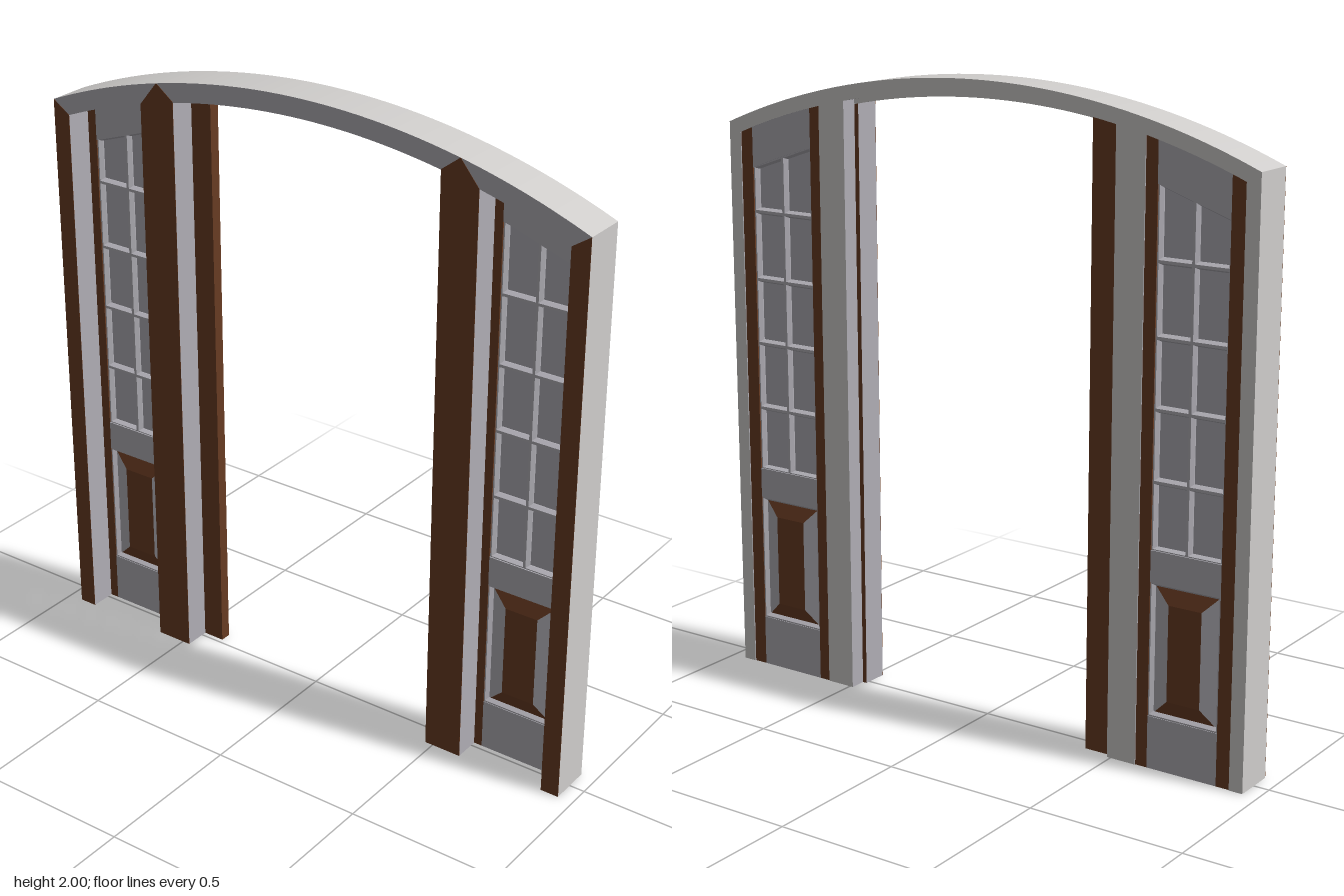
import * as THREE from 'three';

const mat = (name, color) => {
  const m = new THREE.MeshStandardMaterial({ color });
  m.name = name;
  return m;
};

export function createModel() {
  const BROWN = 0, PANEL = 1, FRAME = 2, GLASS = 3;
  const mats = [
    mat('brown wood', 0x683b22), mat('grey panel', 0xb0aeb5),
    mat('light frame', 0xd0cecc), mat('glass', 0xaeadb5),
  ];
  const model = new THREE.Group();
  model.name = 'archedDoorFrame';

  // Height of an arc of radius r sharing the arch centre
  const arc = (r) => (x) => Math.sqrt(r * r - x * x) - 0.47;
  const flat = (y) => () => y;
  const OUTER = 2.47, INNER = 2.41, REAR = 2.425, GLAZING = 2.306;
  const STEP = -0.016, FRONT = 0.069, BACK = -0.07;

  // Mesh whose faces take a colour picked from their normal
  function add(parent, name, geo, pick) {
    if (geo.index) geo = geo.toNonIndexed();
    geo.computeVertexNormals();
    geo.clearGroups();
    const n = geo.attributes.normal;
    for (let i = 0; i < n.count; i += 3) {
      geo.addGroup(i, 3, typeof pick === 'number' ? pick : pick(n.getX(i), n.getY(i), n.getZ(i)));
    }
    const mesh = new THREE.Mesh(geo, mats);
    mesh.name = name;
    parent.add(mesh);
    return mesh;
  }

  function prism(parent, name, points, z0, z1, pick) {
    const shape = new THREE.Shape(points.map(([x, y]) => new THREE.Vector2(x, y)));
    const geo = new THREE.ExtrudeGeometry(shape, { depth: z1 - z0, bevelEnabled: false });
    return add(parent, name, geo.translate(0, 0, z0), pick);
  }

  // Upright slab between two height functions
  function band(parent, name, xa, xb, low, high, z0, z1, pick, steps = 4) {
    const x0 = Math.min(xa, xb), x1 = Math.max(xa, xb), bottom = [], top = [];
    for (let i = 0; i <= steps; i++) {
      const x = x0 + (x1 - x0) * i / steps;
      bottom.push([x, low(x)]);
      top.unshift([x, high(x)]);
    }
    return prism(parent, name, bottom.concat(top), z0, z1, pick);
  }

  // Box whose front and back faces shrink to give sloped edges
  function tapered(parent, name, x, y, w, h, d, sx, sy, pick) {
    const geo = new THREE.BoxGeometry(w, h, d, 1, 1, 3), p = geo.attributes.position;
    for (let i = 0; i < p.count; i++) {
      if (Math.abs(p.getZ(i)) > d * 0.4) p.setXY(i, p.getX(i) * sx, p.getY(i) * sy);
    }
    const mesh = add(parent, name, geo, pick);
    mesh.position.set(x, y, -0.042);
    return mesh;
  }

  // Arched head, rebated behind
  const archPick = (nx, ny, nz) => (nz < -0.5 || ny > 0.3 || Math.abs(nx) > 0.9 ? FRAME : PANEL);
  band(model, 'archFront', -0.95, 0.95, arc(INNER), arc(OUTER), STEP, FRONT, archPick, 48);
  band(model, 'archBack', -0.95, 0.95, arc(REAR), arc(OUTER), BACK, STEP, archPick, 48);

  for (const s of [-1, 1]) {
    const side = new THREE.Group();
    side.name = s > 0 ? 'leftSide' : 'rightSide';
    model.add(side);

    // Outer jamb and mullion: full width in front, rebated behind
    const frontPick = (nx, ny, nz) => (nz < -0.5 ? BROWN : PANEL);
    const backPick = (nx, ny, nz) => (nz < -0.5 ? FRAME : PANEL);
    const outside = (pick) => (nx, ny, nz) => (nx * s > 0.5 ? FRAME : pick(nx, ny, nz));
    band(side, 'jambFront', s * 0.89, s * 0.95, flat(0), arc(INNER), STEP, FRONT, outside(frontPick));
    band(side, 'jambBack', s * 0.905, s * 0.95, flat(0), arc(REAR), BACK, STEP, outside(backPick));
    band(side, 'mullionFront', s * 0.473, s * 0.598, flat(0), arc(INNER), STEP, FRONT, frontPick);
    band(side, 'mullionBack', s * 0.488, s * 0.586, flat(0), arc(REAR), BACK, STEP, backPick);

    // Brown faces, mitred into the arch
    const face = (name, pts) => prism(side, name, pts.map(([x, y]) => [s * x, y]), FRONT, 0.07, BROWN);
    face('jambFace', [[0.89, 0], [0.95, 0], [0.95, 1.81], [0.89, 1.77]]);
    face('mullionFace', [[0.473, 0], [0.598, 0], [0.598, 1.865], [0.535, 1.942], [0.473, 1.895]]);

    // Sidelight: stiles, rails, glass
    const z0 = -0.067, z1 = -0.017, cx = s * 0.7425, xi = s * 0.625, xo = s * 0.86;
    band(side, 'outerStile', xo, s * 0.905, flat(0), arc(REAR), z0, z1, BROWN);
    band(side, 'innerStile', s * 0.586, xi, flat(0), arc(REAR), z0, z1, BROWN);
    band(side, 'bottomRail', xi, xo, flat(0), flat(0.165), z0, z1, PANEL);
    band(side, 'middleRail', xi, xo, flat(0.583), flat(0.68), z0, z1, PANEL);
    band(side, 'topRail', xi, xo, arc(GLAZING), arc(REAR), z0, z1, PANEL, 8);
    band(side, 'glass', xi, xo, flat(0.68), arc(GLAZING), -0.045, -0.039, GLASS, 8);

    // Glazing bars and edge mouldings
    for (const y of [0.885, 1.1, 1.31, 1.53]) {
      tapered(side, 'crossBar', cx, y, 0.235, 0.022, 0.042, 1, 0.4, PANEL);
    }
    tapered(side, 'uprightBar', cx, 1.2, 0.022, 1.04, 0.042, 0.4, 1, PANEL);
    for (const x of [0.625, 0.86]) {
      const h = arc(GLAZING)(x) - 0.68;
      tapered(side, 'glassSideMoulding', s * x, 0.68 + h / 2, 0.022, h, 0.042, 0.4, 1, PANEL);
      tapered(side, 'panelSideMoulding', s * x, 0.374, 0.026, 0.418, 0.046, 0.3, 1, PANEL);
    }
    const topBar = tapered(side, 'glassTopMoulding', cx, 1.713, 0.24, 0.022, 0.042, 1, 0.4, PANEL);
    topBar.rotation.z = -s * 0.328;
    tapered(side, 'glassBottomMoulding', cx, 0.68, 0.235, 0.016, 0.042, 1, 0.4, PANEL);
    for (const y of [0.165, 0.583]) {
      tapered(side, 'panelMoulding', cx, y, 0.235, 0.03, 0.046, 1, 0.3, PANEL);
    }

    // Raised panel: brown field with grey side bevels
    tapered(side, 'raisedPanel', cx, 0.372, 0.225, 0.41, 0.046, 0.49, 0.73,
      (nx) => (Math.abs(nx) > 0.15 ? PANEL : BROWN));
  }

  // Door stop standing out into the opening on one side only
  band(model, 'doorStop', -0.488, -0.4, flat(0), arc(REAR), -0.052, STEP, BROWN);
  return model;
}
